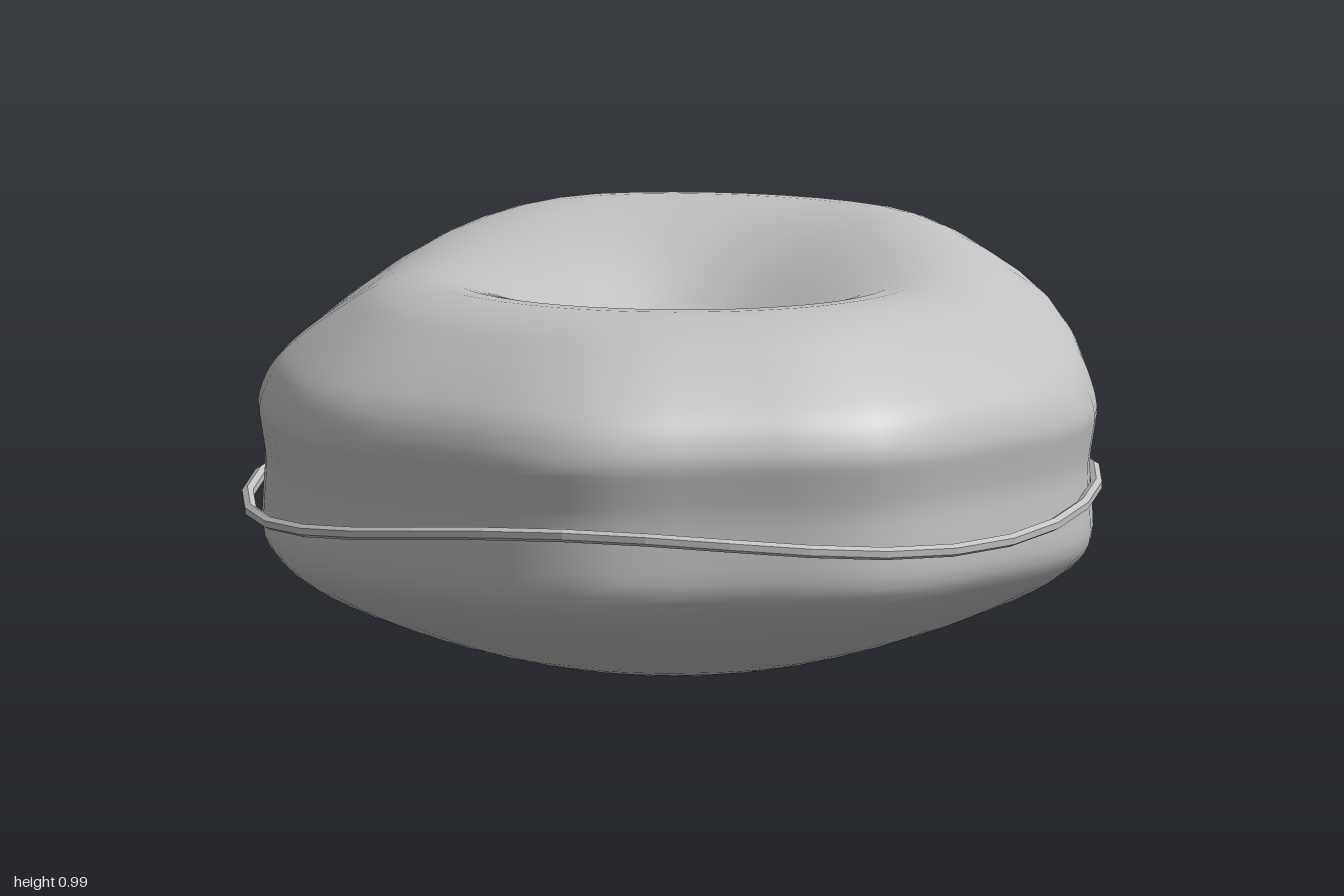
import * as THREE from 'three';

const fabric = new THREE.MeshStandardMaterial({ color: 0xc0c0c0 });
fabric.name = 'soft grey';

// Outline radius every 22.5 degrees, from the front (+z) round by +x
const OUTLINE = [0.985, 0.915, 0.955, 0.92, 0.965, 0.96, 0.92, 0.925, 0.93,
  0.935, 0.94, 0.97, 0.965, 0.94, 0.965, 0.94];

// Cross-section from the base to the crown: [radius scale, front height, back height]
const PROFILE = [
  [0, 0.005, 0.005], [0.2, 0.013, 0.013], [0.42, 0.05, 0.05], [0.63, 0.11, 0.11],
  [0.83, 0.188, 0.188], [0.94, 0.25, 0.25], [0.983, 0.305, 0.305], [0.985, 0.39, 0.39],
  [0.98, 0.48, 0.48], [0.99, 0.55, 0.54], [0.997, 0.6, 0.61], [0.983, 0.65, 0.72],
  [0.96, 0.69, 0.83], [0.93, 0.722, 0.895], [0.87, 0.77, 0.935], [0.8, 0.82, 0.975],
  [0.71, 0.877, 1.005], [0.58, 0.918, 1.01], [0.4, 0.925, 0.98], [0.2, 0.92, 0.935],
  [0, 0.92, 0.92],
];

// Smooth periodic interpolation of the outline
function outlineRadius(turn) {
  const n = OUTLINE.length, f = turn * n, i = Math.floor(f), t = f - i;
  const [a, b, c, d] = [-1, 0, 1, 2].map((k) => OUTLINE[(i + k + n) % n]);
  return b + 0.5 * t * (c - a + t * (2 * a - 5 * b + 4 * c - d + t * (3 * (b - c) + d - a)));
}

function cushionGeometry(segments = 48, rings = 60) {
  const curve = new THREE.CatmullRomCurve3(PROFILE.map((p) => new THREE.Vector3(...p)));
  const positions = [], index = [];
  for (let i = 0; i <= rings; i++) {
    const p = curve.getPoint(i / rings);
    // The outline grows rounder towards the poles
    const lobed = THREE.MathUtils.smoothstep(p.x, 0.3, 0.98);
    for (let j = 0; j < segments; j++) {
      const angle = (j / segments) * Math.PI * 2;
      const r = Math.max(0, p.x) * THREE.MathUtils.lerp(0.95, outlineRadius(j / segments), lobed);
      const x = Math.sin(angle) * r, z = Math.cos(angle) * r;
      // The back rises higher than the front
      const back = THREE.MathUtils.smoothstep(-Math.cos(angle), 0, 0.9);
      let y = THREE.MathUtils.lerp(p.y, p.z, back);
      // Seat hollow in the crown
      if (i > rings / 2) {
        const fade = THREE.MathUtils.smoothstep(1 - p.x, 0, 0.3);
        y -= 0.2 * fade * Math.exp(-((x / 0.26) ** 2 + ((z + 0.03) / 0.25) ** 2) / 2);
      }
      positions.push(x, y, z);
    }
  }
  for (let i = 0; i < rings; i++) {
    for (let j = 0; j < segments; j++) {
      const k = (j + 1) % segments;
      const a = i * segments + j, b = i * segments + k;
      const c = a + segments, d = b + segments;
      if (i > 0) index.push(a, b, d);
      if (i < rings - 1) index.push(a, d, c);
    }
  }
  const geometry = new THREE.BufferGeometry();
  geometry.setAttribute('position', new THREE.Float32BufferAttribute(positions, 3));
  geometry.setIndex(index);
  geometry.computeVertexNormals();
  // Each pole has a single shared direction
  const normals = geometry.attributes.normal;
  for (let j = 0; j < segments; j++) {
    normals.setXYZ(j, 0, -1, 0);
    normals.setXYZ(rings * segments + j, 0, 1, 0);
  }
  return geometry;
}

// Closed wavy cord round the waist
class WavyLoop extends THREE.Curve {
  getPoint(t, target = new THREE.Vector3()) {
    const a = t * Math.PI * 2;
    return target.set(Math.sin(a) * 0.967, 0.417 + 0.033 * Math.cos(3 * a), 0.015 + Math.cos(a) * 0.967);
  }
}

// Flat facets for the cord and bead
function faceted(geometry) {
  const flat = geometry.toNonIndexed();
  flat.computeVertexNormals();
  return flat;
}

export function createModel() {
  const group = new THREE.Group();
  group.name = 'beanbag';
  const add = (name, geometry) => {
    const mesh = new THREE.Mesh(geometry, fabric);
    mesh.name = name;
    group.add(mesh);
    return mesh;
  };
  add('cushion', cushionGeometry());
  add('waistCord', faceted(new THREE.TubeGeometry(new WavyLoop(), 32, 0.015, 6, true)));
  add('cordBead', faceted(new THREE.SphereGeometry(0.03, 8, 6))).position.set(0, 0.403, -0.97);
  return group;
}
